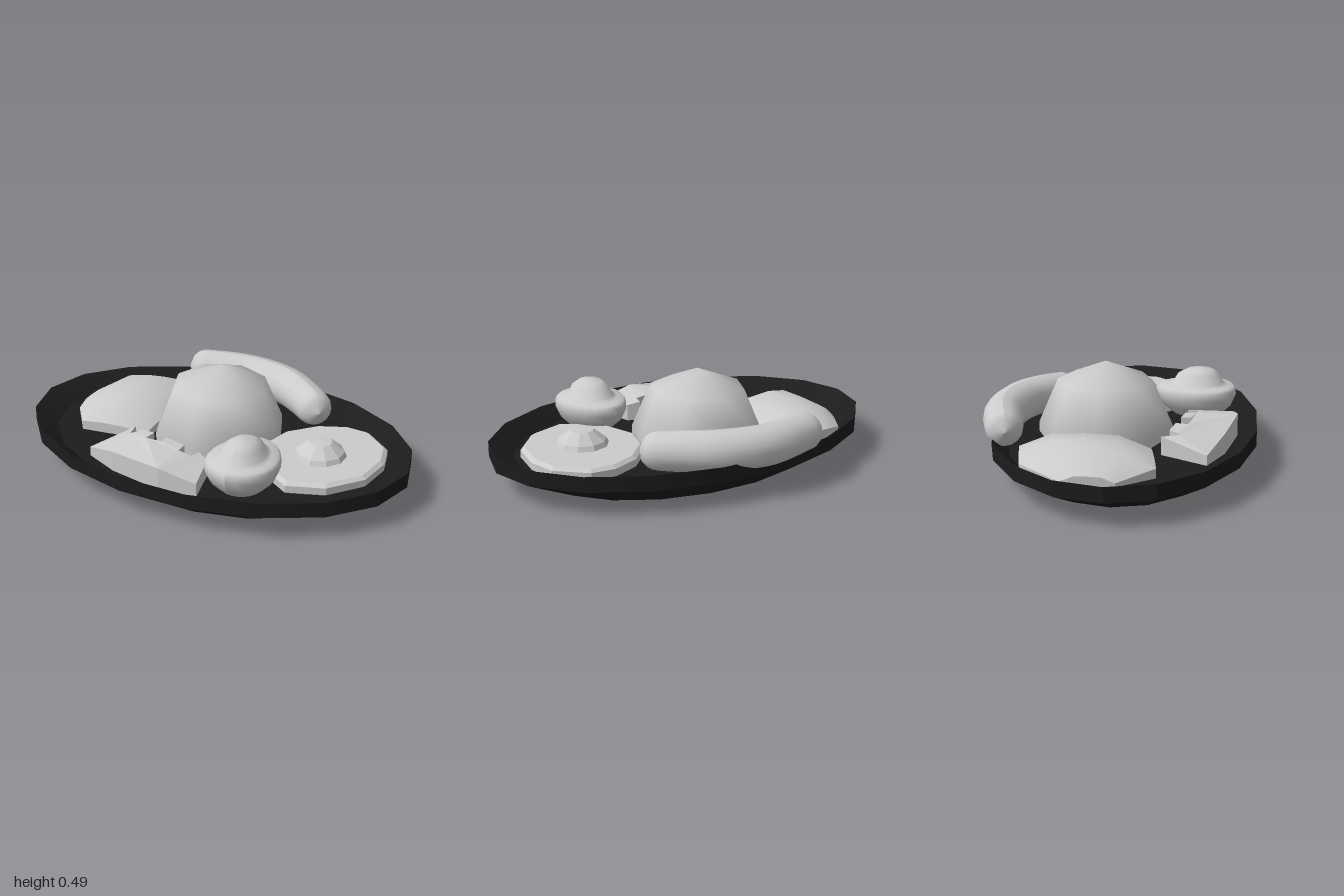
import * as THREE from 'three';
import { toCreasedNormals } from 'three/addons/utils/BufferGeometryUtils.js';

const FLOOR = 0.12;

function addMesh(group, name, geometry, options = {}) {
  const material = new THREE.MeshStandardMaterial({ color: 0xcccccc, ...options });
  const mesh = new THREE.Mesh(geometry, material);
  mesh.name = name;
  group.add(mesh);
  return mesh;
}

const profile = (pts) => pts.map(([r, y]) => new THREE.Vector2(r, y));

// Upright slab from a plan outline given as [x, z]
function slab(outline, settings) {
  const shape = new THREE.Shape(outline.map(([x, z]) => new THREE.Vector2(x, -z)));
  return new THREE.ExtrudeGeometry(shape, settings).rotateX(-Math.PI / 2);
}

function moveVertices(geometry, rule) {
  const p = geometry.attributes.position;
  const v = new THREE.Vector3();
  for (let i = 0; i < p.count; i++) {
    v.fromBufferAttribute(p, i);
    rule(v, i);
    p.setXYZ(i, v.x, v.y, v.z);
  }
  geometry.computeVertexNormals();
  return geometry;
}

// Skin open cross-sections that run side by side
function skin(sections) {
  const n = sections[0].length, index = [];
  for (let i = 0; i < sections.length - 1; i++) {
    for (let j = 0; j < n - 1; j++) {
      const a = i * n + j, c = a + n;
      index.push(a, a + 1, c, a + 1, c + 1, c);
    }
  }
  const g = new THREE.BufferGeometry();
  g.setAttribute('position', new THREE.Float32BufferAttribute(sections.flat(2), 3));
  g.setIndex(index);
  return toCreasedNormals(g, 0.6);
}

// Sausage: bent tube with swollen middle and rounded ends
function sausageGeometry() {
  const curve = new THREE.CatmullRomCurve3([
    [-0.44, 0.235, -0.505], [-0.32, 0.235, -0.535], [-0.1, 0.228, -0.57], [0.13, 0.228, -0.52],
    [0.27, 0.228, -0.43], [0.36, 0.225, -0.355], [0.415, 0.225, -0.295],
  ].map((p) => new THREE.Vector3(...p)));
  const rings = 40, sides = 16, length = curve.getLength();
  const tube = new THREE.TubeGeometry(curve, rings, 0.1, sides);
  return moveVertices(tube, (v, i) => {
    const t = Math.floor(i / (sides + 1)) / rings;
    const centre = curve.getPointAt(t);
    const k = Math.min(1, (Math.min(t, 1 - t) * length) / 0.085);
    const f = Math.sqrt(1 - (1 - k) ** 2) * (0.88 + 0.14 * Math.sin(Math.PI * t));
    v.sub(centre).multiplyScalar(f).add(centre);
  });
}

export function createModel() {
  const model = new THREE.Group();
  model.name = 'plateOfFood';

  // Oval plate
  const plate = new THREE.LatheGeometry(
    profile([[0, 0], [0.737, 0], [1, 0.12], [1, 0.195], [0.88, FLOOR], [0, FLOOR]]), 18, Math.PI / 2);
  plate.scale(1, 1, 0.66).translate(0, 0, 0.018);
  addMesh(model, 'plate', toCreasedNormals(plate, 0.42), { color: 0x1c1c1c });

  // Rice dome
  const dome = new THREE.SphereGeometry(0.335, 8, 2, 0, Math.PI * 2, 0, Math.PI / 2);
  dome.scale(1, 0.967, 1);
  addMesh(model, 'riceDome', dome).position.set(-0.035, 0.166, -0.078);
  const base = new THREE.CylinderGeometry(0.335, 0.335, 0.05, 8, 1, true);
  addMesh(model, 'riceBase', base).position.set(-0.035, 0.141, -0.078);

  // Fried egg
  const whiteOutline = [
    [0.56, -0.33], [0.42, -0.27], [0.3, -0.14], [0.26, 0.02], [0.33, 0.22], [0.52, 0.345],
    [0.7, 0.28], [0.83, 0.12], [0.855, -0.06], [0.82, -0.2], [0.68, -0.32]];
  const white = slab(whiteOutline, {
    depth: 0.035, bevelThickness: 0.015, bevelSize: 0.02, bevelOffset: -0.02, bevelSegments: 1 });
  addMesh(model, 'eggWhite', white).position.y = FLOOR + 0.012;
  const yolk = new THREE.LatheGeometry(
    profile([[0.135, 0.17], [0.118, 0.205], [0.058, 0.253], [0, 0.256]]), 10);
  addMesh(model, 'eggYolk', yolk, { flatShading: true }).position.set(0.555, 0, 0.015);

  // Sausage
  addMesh(model, 'sausage', sausageGeometry());

  // Halved fruit with its stone, narrower toward the back
  const fruit = new THREE.LatheGeometry(profile([
    [0, 0.125], [0.6, 0.135], [0.88, 0.185], [1, 0.235], [0.99, 0.268], [0.92, 0.283], [0.75, 0.287],
    [0.62, 0.3], [0.52, 0.34], [0.32, 0.366], [0, 0.371]]), 24);
  moveVertices(fruit, (v) => {
    const r = Math.hypot(v.x, v.z);
    v.x *= 0.172 * (1 + 0.15 * v.z);
    v.z = v.z * 0.208 + 0.03 * Math.max(0, 1 - r);
  });
  addMesh(model, 'halvedFruit', fruit).position.set(0.32, 0, 0.353);

  // Curved leaf on the right: [back x, back z, front x, front z, height]
  const ribs = [
    [-0.8, -0.2, -0.8, 0.05, 0.165], [-0.67, -0.4, -0.67, 0.22, 0.236], [-0.56, -0.42, -0.56, 0.205, 0.255],
    [-0.42, -0.445, -0.4, 0.18, 0.236], [-0.28, -0.33, -0.335, 0.17, 0.17]];
  const sections = ribs.map(([bx, bz, fx, fz, y]) => {
    const edge = FLOOR + (y - FLOOR) * 0.4, mid = FLOOR + (y - FLOOR) * 0.95;
    const at = (t, h) => [bx + (fx - bx) * t, h, bz + (fz - bz) * t];
    return [at(0, FLOOR), at(0, edge), at(0.25, mid), at(0.5, y), at(0.75, mid), at(1, edge), at(1, FLOOR)];
  });
  const flat = (s) => s.map(([x, , z]) => [x, FLOOR, z]);
  const leaf = skin([flat(sections[0]), ...sections, flat(sections.at(-1))]);
  addMesh(model, 'curvedLeaf', leaf, { side: THREE.DoubleSide });

  // Arched slice at the front with notches along its inner edge
  const slice = slab([
    [-0.48, 0.44], [-0.3, 0.52], [-0.02, 0.575], [0.17, 0.555], [0.12, 0.35],
    [0.06, 0.325], [0.05, 0.38], [-0.02, 0.375], [-0.02, 0.32], [-0.13, 0.3], [-0.13, 0.35],
    [-0.22, 0.34], [-0.21, 0.28], [-0.29, 0.255], [-0.32, 0.3], [-0.335, 0.3], [-0.35, 0.22]],
  { depth: 0.1, bevelEnabled: false });
  moveVertices(slice, (v) => {
    v.y = v.y > 0.05 ? 0.24 - 0.06 * ((v.x + 0.13) / 0.32) ** 2 : FLOOR;
  });
  addMesh(model, 'notchedSlice', slice);

  return model;
}
